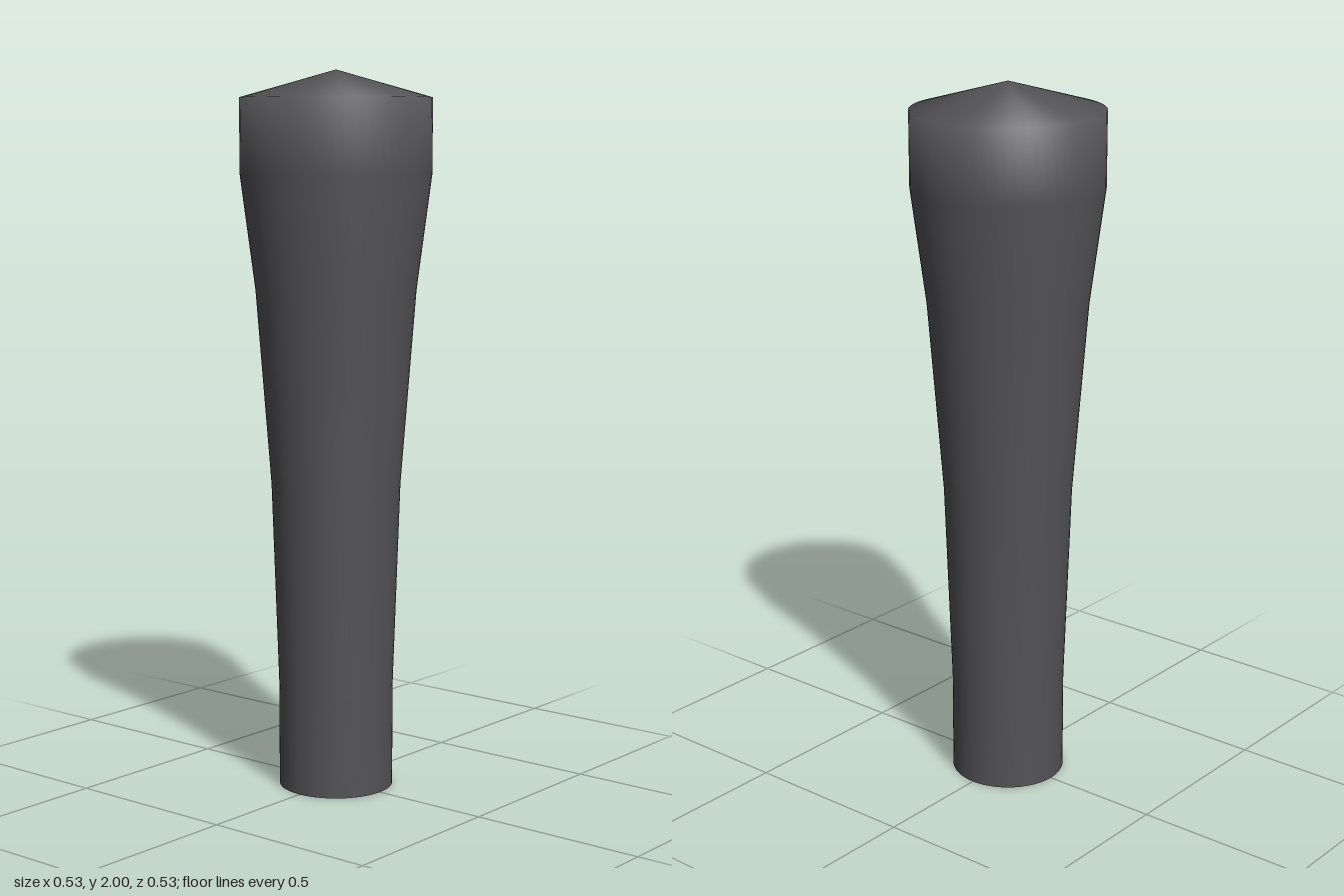
import * as THREE from 'three';

export function createModel() {
  const group = new THREE.Group();
  group.name = 'taperedHandle';
  const material = new THREE.MeshStandardMaterial({ color: 0x545457 });
  material.name = 'dark grey';
  const segments = 64;

  // Smooth turned body: straight foot, flaring shaft, collar and low conical tip
  const profile = [
    [0.16, 0], [0.16, 0.28], [0.18, 0.86], [0.222, 1.4],
    [0.264, 1.72], [0.264, 1.925], [0, 2],
  ].map(([r, y]) => new THREE.Vector2(r, y));
  const bodyGeometry = new THREE.LatheGeometry(profile, segments);

  // Round off the shading at the tip
  const normals = bodyGeometry.attributes.normal;
  for (let i = 0; i <= segments; i++) {
    normals.setXYZ((i + 1) * profile.length - 1, 0, 1, 0);
  }
  const body = new THREE.Mesh(bodyGeometry, material);
  body.name = 'body';
  group.add(body);

  // Flat underside
  const base = new THREE.Mesh(new THREE.CircleGeometry(0.16, segments), material);
  base.name = 'base';
  base.rotation.x = Math.PI / 2;
  group.add(base);

  return group;
}
